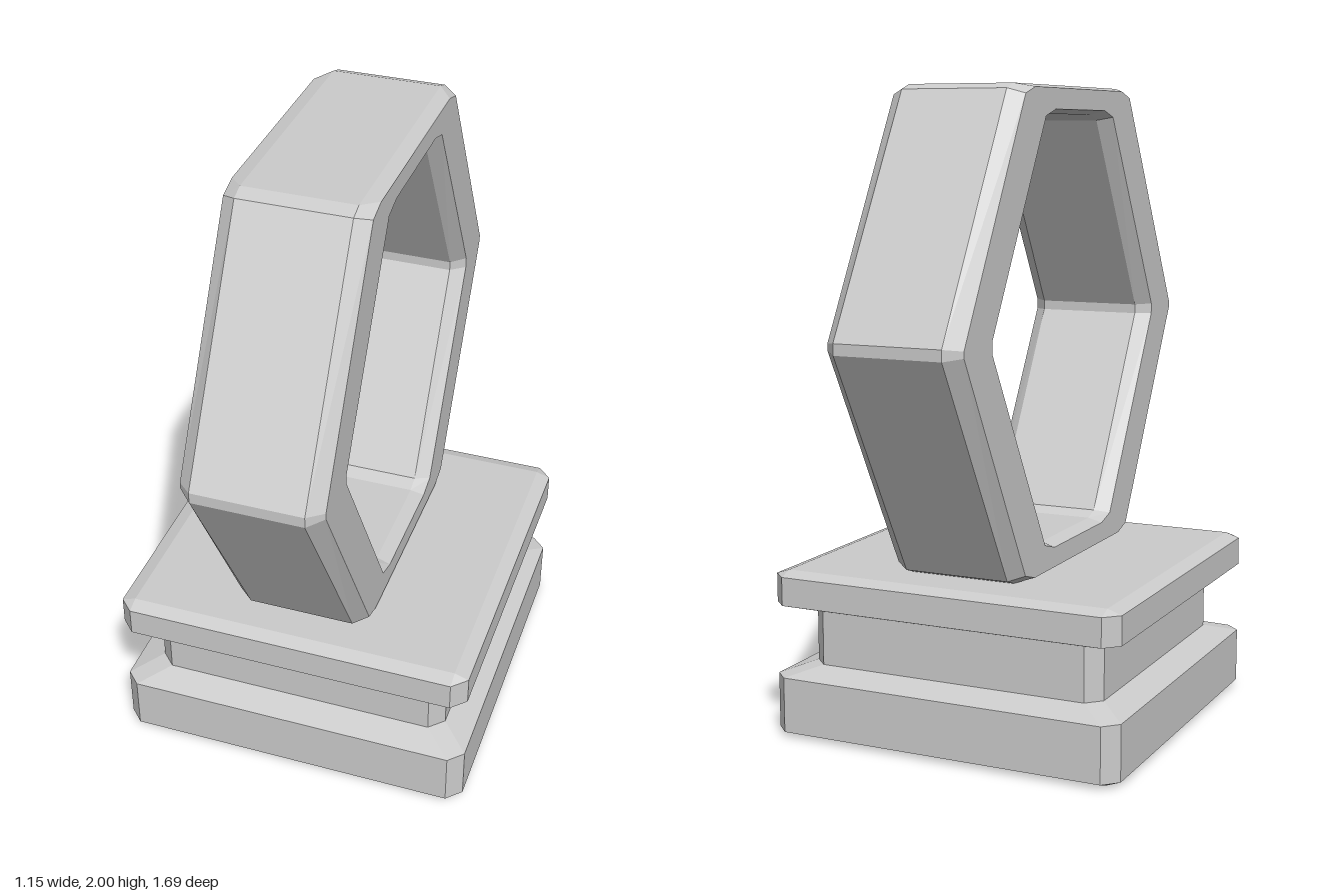
import * as THREE from 'three';

const material = new THREE.MeshStandardMaterial({ color: 0xcccccc, flatShading: true });

// Joins loops of [x, y, z] points into a faceted skin; wrap joins the last loop to the first.
function loft(name, loops, wrap = false) {
  const n = loops[0].length;
  const out = [];
  const last = wrap ? loops.length : loops.length - 1;
  for (let k = 0; k < last; k++) {
    const lower = loops[k], upper = loops[(k + 1) % loops.length];
    for (let j = 0; j < n; j++) {
      const i = (j + 1) % n;
      out.push(...lower[j], ...upper[i], ...lower[i], ...lower[j], ...upper[j], ...upper[i]);
    }
  }
  const geometry = new THREE.BufferGeometry();
  geometry.setAttribute('position', new THREE.Float32BufferAttribute(out, 3));
  geometry.computeVertexNormals();
  const mesh = new THREE.Mesh(geometry, material);
  mesh.name = name;
  return mesh;
}

// Mirrors points of one quadrant into a full counter-clockwise outline
function fourfold(quadrant) {
  const half = [...quadrant, ...quadrant.map(([u, v]) => [-u, v]).reverse()];
  return [...half, ...half.map(([u, v]) => [u, -v]).reverse()];
}

// Square section with clipped corners: half width and half length of its flat sides
const section = (y, width, flat) =>
  fourfold([[width, flat], [flat, width]]).map(([x, z]) => [x, y, z]);

// Hexagonal outline in the side plane, at a given x
const ringCentre = 1.2625;
const hexagon = (x, quadrant) =>
  fourfold(quadrant).map(([z, y]) => [x, y + ringCentre, z]);

export function createModel() {
  const group = new THREE.Group();

  // Square pedestal: foot, recessed neck and top plate
  group.add(loft('pedestal', [
    section(0, 0, 0),
    section(0, 0.53, 0.53),
    section(0.016, 0.575, 0.53),
    section(0.19, 0.575, 0.53),
    section(0.22, 0.485, 0.44),
    section(0.39, 0.485, 0.44),
    section(0.42, 0.575, 0.53),
    section(0.51, 0.575, 0.53),
    section(0.525, 0.53, 0.53),
    section(0.525, 0, 0),
  ]));

  // Upright hexagonal ring with bevelled rims
  const outer = [[0.845, 0.017], [0.435, 0.722], [0.39, 0.7375]];
  const faceOuter = [[0.8, 0.01], [0.403, 0.7075], [0.335, 0.7275]];
  const faceInner = [[0.625, 0.017], [0.26, 0.645], [0.19, 0.665]];
  const inner = [[0.585, 0.015], [0.23, 0.635], [0.185, 0.652]];
  const rim = 0.17, face = 0.215;
  group.add(loft('hexagonRing', [
    hexagon(-rim, outer),
    hexagon(rim, outer),
    hexagon(face, faceOuter),
    hexagon(face, faceInner),
    hexagon(rim, inner),
    hexagon(-rim, inner),
    hexagon(-face, faceInner),
    hexagon(-face, faceOuter),
  ], true));

  return group;
}
